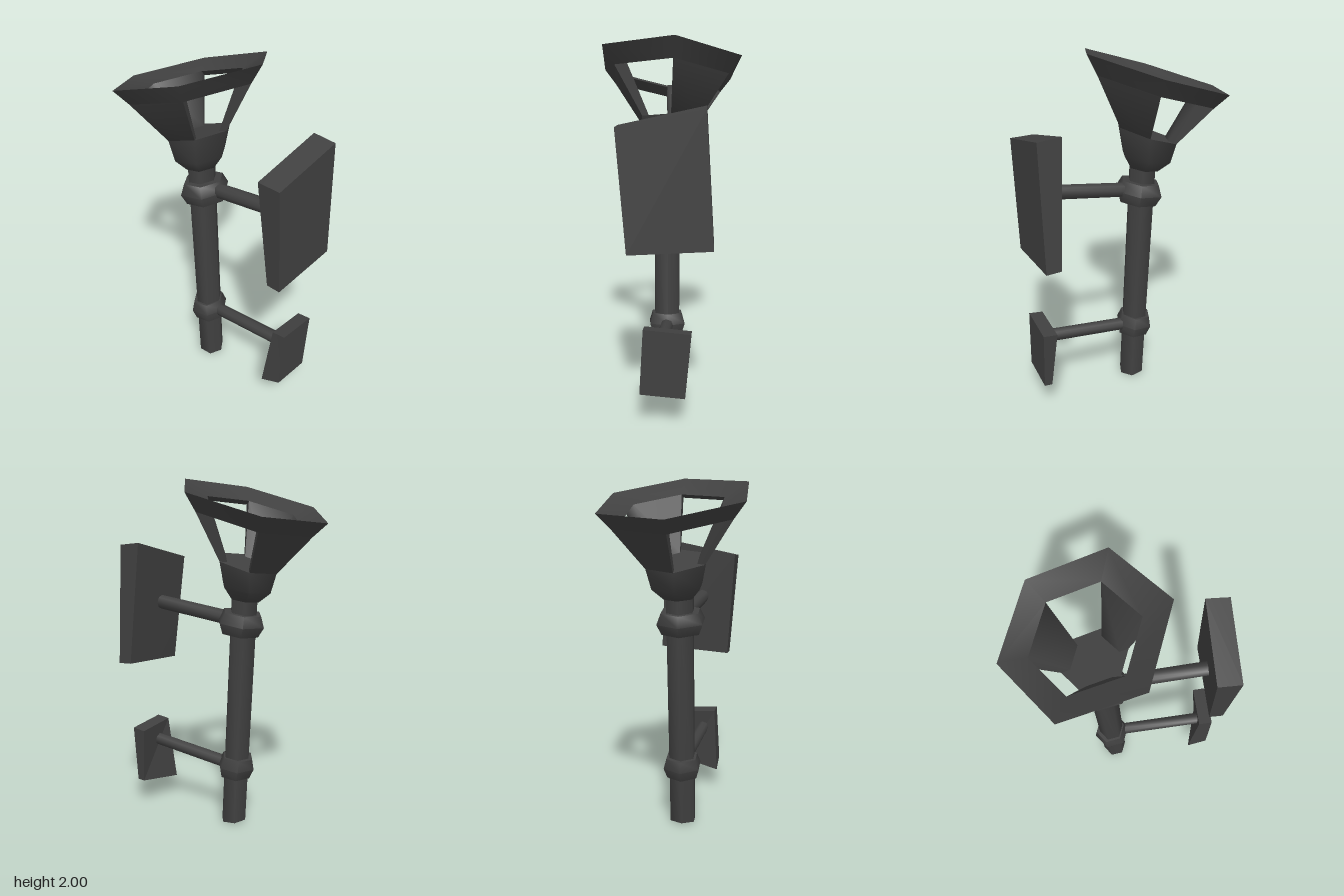
import * as THREE from 'three';
import { toCreasedNormals } from 'three/addons/utils/BufferGeometryUtils.js';

const material = new THREE.MeshStandardMaterial({ color: 0x404040 });
const SIDES = 6;

// Hexagonal section: centre, radius, and how far y rises per unit of x and z
function ring(cx, cy, cz, r, tiltX = 0, tiltZ = 0) {
  return Array.from({ length: SIDES }, (_, i) => {
    const a = THREE.MathUtils.degToRad(-7 + 60 * i);
    const dx = 0.94 * r * Math.cos(a), dz = r * Math.sin(a);
    return new THREE.Vector3(cx + dx, cy + tiltX * dx + tiltZ * dz, cz + dz);
  });
}

// Collects polygons as triangle fans
function polygonMesh(name, polygons, crease = 1.12) {
  const points = [];
  for (const p of polygons)
    for (let i = 1; i < p.length - 1; i++) points.push(p[0], p[i], p[i + 1]);
  const geometry = new THREE.BufferGeometry().setFromPoints(points);
  const mesh = new THREE.Mesh(toCreasedNormals(geometry, crease), material);
  mesh.name = name;
  return mesh;
}

// One side of the band between two rings
const quad = (low, high, i) => {
  const j = (i + 1) % SIDES;
  return [low[i], high[i], high[j], low[j]];
};

// Quads between successive rings
function bands(rings) {
  const polygons = [];
  for (let k = 0; k < rings.length - 1; k++)
    for (let i = 0; i < SIDES; i++) polygons.push(quad(rings[k], rings[k + 1], i));
  return polygons;
}

// Solid loft with both ends closed, rings from bottom to top
function loft(name, rings) {
  const top = [...rings[rings.length - 1]].reverse();
  return polygonMesh(name, [...bands(rings), rings[0], top]);
}

function rod(name, from, to, radius) {
  const a = new THREE.Vector3(...from), b = new THREE.Vector3(...to);
  const d = b.clone().sub(a);
  const geometry = toCreasedNormals(new THREE.CylinderGeometry(radius, radius, d.length(), 8), 1.1);
  const mesh = new THREE.Mesh(geometry, material);
  mesh.position.copy(a).add(b).multiplyScalar(0.5);
  mesh.quaternion.setFromUnitVectors(new THREE.Vector3(0, 1, 0), d.normalize());
  mesh.name = name;
  return mesh;
}

// Skewed slab; corners of each face: top front, top back, bottom back, bottom front
function plate(name, inner, outer) {
  const n = inner.map((p) => new THREE.Vector3(...p));
  const o = outer.map((p) => new THREE.Vector3(...p));
  const polygons = [[...o].reverse(), n];
  for (let i = 0; i < 4; i++) {
    const j = (i + 1) % 4;
    polygons.push([n[j], n[i], o[i], o[j]]);
  }
  return polygonMesh(name, polygons, 0.3);
}

function collar(name, x, y, r, rEnd, tilt) {
  const h = 0.06;
  return loft(name, [
    ring(x + 0.01, y - h, 0.01, rEnd, tilt),
    ring(x, y, 0.01, r, tilt),
    ring(x - 0.01, y + h, 0.01, rEnd, tilt),
  ]);
}

export function createModel() {
  const group = new THREE.Group();

  // Leaning pole
  group.add(loft('pole', [
    ring(-0.038, 0.005, 0.01, 0.08, -0.06),
    ring(-0.108, 1.4, 0.01, 0.084, -0.06),
  ]));

  // Cup on top of the pole
  const floorOuter = ring(-0.125, 1.54, 0, 0.185, 0.32, 0.04);
  group.add(loft('cup', [
    ring(-0.11, 1.34, 0.005, 0.09, 0.15),
    ring(-0.123, 1.405, 0, 0.152, 0.18),
    floorOuter,
  ]));

  // Tilted rim with a three-cornered section
  const rimTop = ring(-0.165, 1.875, 0, 0.44, 0.3, 0.04);
  const rimInner = ring(-0.162, 1.82, 0, 0.29, 0.3, 0.04);
  const rimLower = ring(-0.155, 1.785, 0, 0.365, 0.3, 0.04);
  group.add(polygonMesh('rim', bands([rimLower, rimTop, rimInner, rimLower])));

  // Three solid walls, leaving three open windows between them
  const floorInner = ring(-0.125, 1.54, 0, 0.135, 0.32, 0.04);
  const section = [floorOuter, rimLower, rimInner, floorInner];
  for (let i = 1; i < SIDES; i += 2) {
    const polygons = section.map((r, k) => quad(r, section[(k + 1) % 4], i));
    polygons.push(section.map((r) => r[i]).reverse());
    polygons.push(section.map((r) => r[(i + 1) % SIDES]));
    group.add(polygonMesh('bowlWall', polygons));
  }

  // Collars around the pole, with an arm from each
  group.add(collar('upperCollar', -0.083, 1.205, 0.148, 0.12, 0.16));
  group.add(collar('lowerCollar', -0.055, 0.35, 0.118, 0.098, 0.12));
  group.add(rod('upperArm', [-0.06, 1.22, 0.005], [0.5, 1.29, 0.005], 0.042));
  group.add(rod('lowerArm', [-0.05, 0.35, 0.005], [0.53, 0.41, 0.005], 0.037));

  // Plates at the arm ends
  group.add(plate('upperPlate',
    [[0.455, 1.55, 0.215], [0.455, 1.645, -0.225], [0.5, 0.95, -0.268], [0.505, 0.92, 0.165]],
    [[0.585, 1.545, 0.215], [0.585, 1.632, -0.225], [0.585, 0.945, -0.268], [0.585, 0.918, 0.165]]));
  group.add(plate('lowerPlate',
    [[0.505, 0.525, 0.085], [0.505, 0.505, -0.16], [0.54, 0.165, -0.13], [0.465, 0.135, 0.112]],
    [[0.585, 0.535, 0.085], [0.585, 0.515, -0.16], [0.585, 0.168, -0.13], [0.585, 0.185, 0.105]]));

  return group;
}
